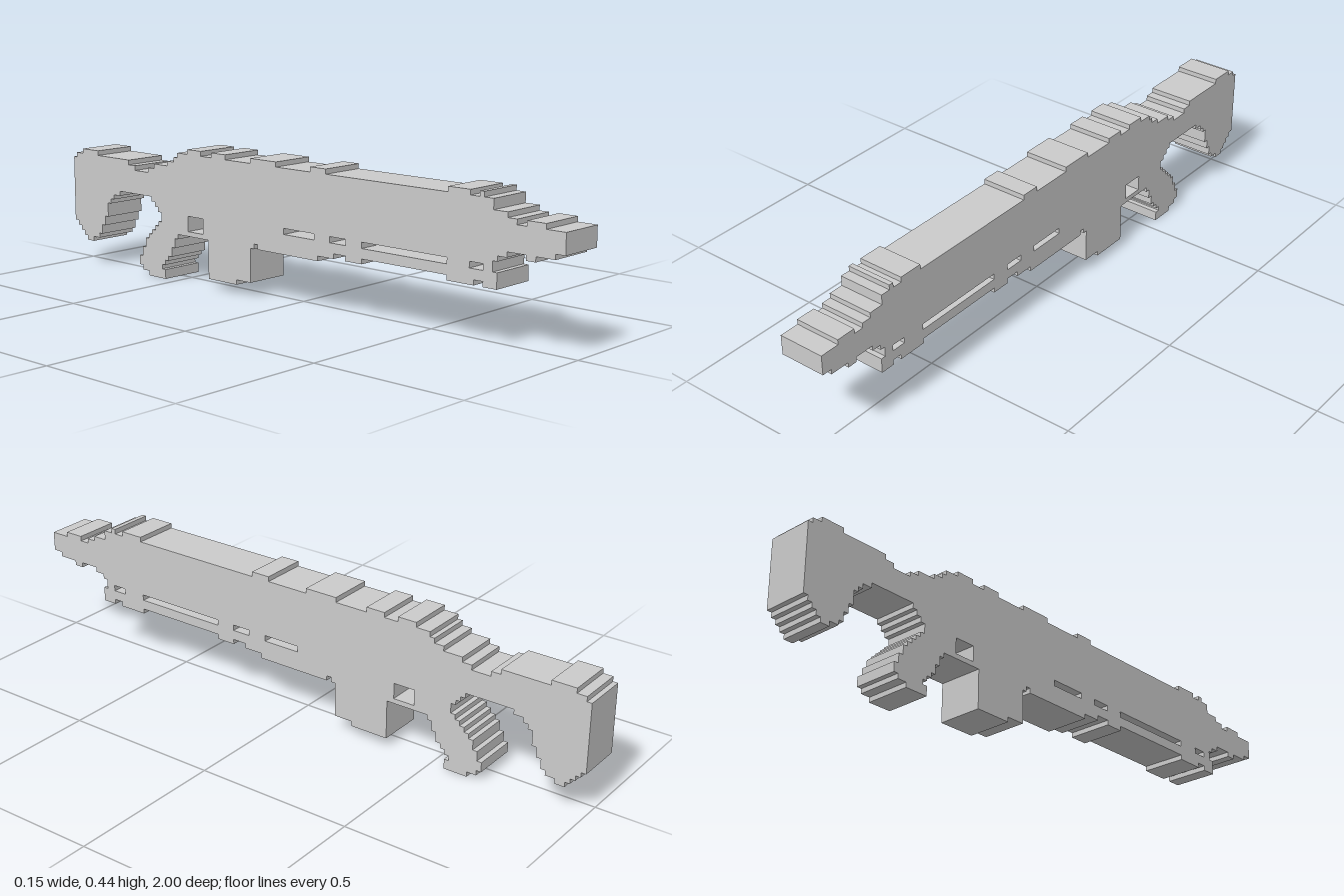
import * as THREE from 'three';

const CELL = 1 / 64;   // every outline runs on a square grid of this size
const WIDTH = 0.148;

// Stepped outline: each [z, y] pair runs level to z, then upright to y.
function stairs(pairs) {
  let [z, y] = pairs[0];
  const points = [new THREE.Vector2(z, y)];
  for (const [nextZ, nextY] of pairs.slice(1)) {
    if (nextZ !== z) points.push(new THREE.Vector2(nextZ, y));
    if (nextY !== y) points.push(new THREE.Vector2(nextZ, nextY));
    [z, y] = [nextZ, nextY];
  }
  return points.map((p) => p.multiplyScalar(CELL));
}

// Rectangular opening between two z and two y lines.
function slot(z0, z1, y0, y1) {
  return new THREE.Path(
    [[z0, y0], [z1, y0], [z1, y1], [z0, y1]].map(([z, y]) => new THREE.Vector2(z * CELL, y * CELL)));
}

function slab(name, pairs, material, holes = []) {
  const shape = new THREE.Shape(stairs(pairs));
  shape.holes.push(...holes);
  const geometry = new THREE.ExtrudeGeometry(shape, { depth: WIDTH, bevelEnabled: false });
  geometry.translate(0, 0, -WIDTH / 2);
  geometry.rotateY(-Math.PI / 2);
  const mesh = new THREE.Mesh(geometry, material);
  mesh.name = name;
  return mesh;
}

export function createModel() {
  const model = new THREE.Group();
  model.name = 'steppedRifle';
  const grey = new THREE.MeshStandardMaterial({ color: 0xcccccc, flatShading: true });

  // Barrel, receiver and fore-end, with the fore-end slots and trigger opening
  const body = [
    // top edge, muzzle to stock
    [64, 19], [64, 23], [60, 24], [56, 23], [54, 24], [52, 25], [49, 27],
    [47, 28], [46, 27], [44, 28], [39, 27], [10, 28], [6, 27], [-3, 28], [-10, 27],
    [-17, 28], [-21, 27], [-24, 28], [-28, 27],
    [-31, 26], [-32, 25], [-34, 24], [-38, 23], [-40, 22],
    // neck and rear of the grip root
    [-40, 17], [-39, 16], [-38, 15], [-37, 14], [-36, 12], [-37, 11], [-38, 10],
    // underside, grip to fore-end
    [-10, 10], [-9, 11], [-8, 10], [8, 11], [12, 12], [15, 11], [19, 12], [39, 11],
    [45, 12], [47, 11], [50, 14], [49, 16], [50, 17], [52, 18], [56, 17], [58, 18], [62, 19],
  ];
  const openings = [
    slot(44, 47, 14, 15.2),
    slot(19, 39, 14, 15.2),
    slot(11, 15, 14, 15.2),
    slot(-1, 7, 14, 15.2),
    slot(-28, -23.5, 11, 14.2),
  ];
  model.add(slab('body', body, grey, openings));

  // Magazine
  model.add(slab('magazine', [
    [-10, 10], [-22, 10], [-22, 2], [-14, 3], [-10, 10],
  ], grey));

  // Pistol grip, sloping backwards to its foot
  model.add(slab('grip', [
    [-31, 10], [-38, 10], [-39, 9], [-40, 8], [-41, 6], [-42, 4], [-43, 2], [-42, 1], [-40, 0],
    [-35, 2], [-36, 3], [-35, 4], [-34, 5], [-33, 7], [-32, 9], [-31, 10],
  ], grey));

  // Shoulder stock
  model.add(slab('stock', [
    [-40, 17], [-40, 22], [-44, 23], [-46, 24], [-56, 25], [-61, 24], [-63, 23],
    [-64, 9], [-63, 8], [-62, 7], [-61, 6], [-60, 5],
    [-58, 6], [-56, 7], [-55, 9], [-54, 11], [-53, 14], [-52, 15], [-51, 16], [-49, 17],
  ], grey));

  return model;
}
